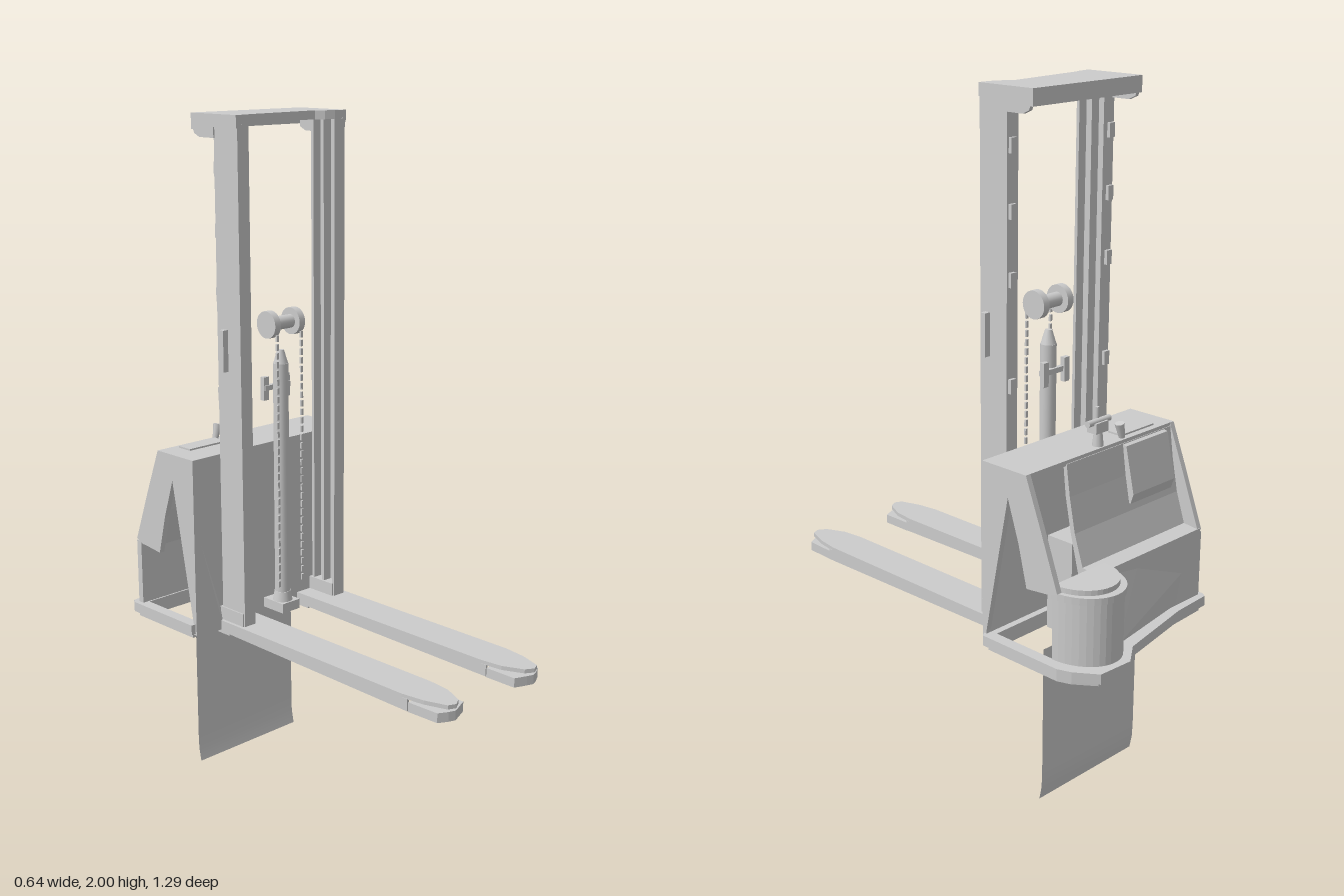
import * as THREE from 'three';

const mat = new THREE.MeshStandardMaterial({ color: 0xcccccc, side: THREE.DoubleSide });

export function createModel() {
  const model = new THREE.Group();

  function add(name, geo, x = 0, y = 0, z = 0) {
    const mesh = new THREE.Mesh(geo, mat);
    mesh.name = name;
    mesh.position.set(x, y, z);
    model.add(mesh);
    return mesh;
  }
  // Box from its lower and upper corners
  const box = (name, x0, x1, y0, y1, z0, z1) => add(name,
    new THREE.BoxGeometry(x1 - x0, y1 - y0, z1 - z0), (x0 + x1) / 2, (y0 + y1) / 2, (z0 + z1) / 2);
  const cyl = (name, r0, r1, h, x, y, z, n = 20) => add(name, new THREE.CylinderGeometry(r0, r1, h, n), x, y, z);
  const axle = (name, r, w, x, y, z) => { cyl(name, r, r, w, x, y, z, 24).rotation.z = Math.PI / 2; };
  const vecs = (pts, sx, sy) => pts.map(([a, b]) => new THREE.Vector2(a * sx, b * sy));
  // Extrude a floor outline of [x, z] points upward
  function plan(name, pts, y0, y1, hole) {
    const s = new THREE.Shape(vecs(pts, 1, -1));
    if (hole) s.holes.push(new THREE.Path(vecs(hole, 1, -1)));
    const g = new THREE.ExtrudeGeometry(s, { depth: y1 - y0, bevelEnabled: false });
    return add(name, g.rotateX(-Math.PI / 2), 0, y0, 0);
  }
  // Extrude a side outline of [z, y] points across x
  function side(name, pts, x0, x1) {
    const s = new THREE.Shape(vecs(pts, -1, 1));
    const g = new THREE.ExtrudeGeometry(s, { depth: x1 - x0, bevelEnabled: false });
    return add(name, g.rotateY(Math.PI / 2), x0, 0, 0);
  }

  // Mast rails, forks and side panels, mirrored
  for (const s of [-1, 1]) {
    const m = (pts) => pts.map(([x, z]) => [x * s, z]);
    plan('mastRail', m([[0.206, -0.145], [0.206, -0.243], [0.165, -0.243], [0.165, -0.233], [0.194, -0.233],
      [0.194, -0.2], [0.165, -0.2], [0.165, -0.19], [0.194, -0.19], [0.194, -0.155], [0.165, -0.155], [0.165, -0.145]]), 0.48, 1.975);
    const px = (a, b) => [Math.min(a * s, b * s), Math.max(a * s, b * s)];
    box('mastPad', ...px(0.222, 0.24), 1.29, 1.41, -0.197, -0.18);
    box('mastFoot', ...px(0.16, 0.21), 0.48, 0.56, -0.25, -0.15);
    for (const y of [0.98, 1.21, 1.5, 1.68, 1.85])
      box('railClip', ...px(0.18, 0.2), y - 0.02, y + 0.02, -0.253, -0.243);

    // Fork: top plate with a tapered tip and folded-down edges
    const a = 0.105, b = 0.22;
    plan('forkTop', m([[a, -0.2], [a, 0.5], [0.113, 0.57], [0.14, 0.63], [0.165, 0.645],
      [0.188, 0.635], [0.21, 0.57], [b, 0.5], [b, -0.2]]), 0.508, 0.52);
    const edge = [[-0.2, 0.485], [-0.2, 0.51], [0.52, 0.51], [0.52, 0.475]];
    side('forkEdge', edge, ...px(a, a + 0.008));
    side('forkEdge', edge, ...px(b - 0.008, b));
    plan('forkTip', m([[0.108, 0.52], [0.108, 0.62], [0.145, 0.635], [0.165, 0.642],
      [0.185, 0.635], [0.212, 0.62], [0.216, 0.52]]), 0.472, 0.5);
    box('forkHeel', ...px(a, b), 0.48, 0.52, -0.25, -0.2);

    // Side panel with an open, A-shaped profile
    side('sidePanel', [[-0.25, 0.5], [-0.25, 1.03], [-0.41, 1.03], [-0.465, 0.89], [-0.525, 0.73], [-0.5, 0.72],
      [-0.415, 0.71], [-0.385, 0.83], [-0.345, 0.95], [-0.262, 0.52]], ...px(0.288, 0.305));
  }

  // Cap joining the rails, with rounded cheeks at the rear
  plan('mastCap', [[-0.21, -0.335], [-0.21, -0.145], [-0.17, -0.148], [-0.15, -0.155], [0.12, -0.18],
    [0.14, -0.16], [0.17, -0.148], [0.21, -0.145], [0.21, -0.335]], 1.975, 2);
  const cheek = [[-0.145, 1.98], [-0.145, 1.965], [-0.24, 1.965], [-0.24, 1.935], [-0.3, 1.935],
    [-0.322, 1.945], [-0.333, 1.97], [-0.333, 1.99]];
  side('capCheek', cheek, -0.21, -0.198);
  side('capCheek', cheek, 0.198, 0.21);
  box('capRearLip', -0.21, 0.21, 1.955, 1.99, -0.335, -0.325);

  // Lift cylinder, pulley head and chains
  cyl('liftCylinder', 0.023, 0.023, 0.71, -0.003, 0.925, -0.2);
  cyl('cylinderNeck', 0.01, 0.022, 0.04, -0.003, 1.3, -0.2);
  cyl('cylinderFoot', 0.025, 0.03, 0.03, -0.003, 0.555, -0.2);
  box('cylinderBracket', -0.035, 0.035, 0.51, 0.54, -0.25, -0.165);
  axle('pulleyAxle', 0.02, 0.1, 0, 1.4, -0.2);
  for (const s of [-1, 1]) {
    axle('pulley', 0.04, 0.022, s * 0.048, 1.4, -0.2);
    for (let i = 0; i < 30; i++)
      box('chainLink', s * 0.048 - 0.004, s * 0.048 + 0.004, 0.6 + i * 0.026, 0.619 + i * 0.026, -0.168, -0.162);
    box('chainClamp', s * 0.042 - 0.01, s * 0.042 + 0.01, 1.17, 1.24, -0.235, -0.22);
  }
  box('clampBar', -0.05, 0.05, 1.2, 1.215, -0.23, -0.215);

  // Body front and top
  box('bodyFront', -0.305, 0.305, 0.49, 1.03, -0.265, -0.25);
  box('bodyTop', -0.305, 0.305, 1.015, 1.03, -0.41, -0.25);

  // Concave backrest running down to the shelf
  side('backrest', [[-0.4, 1.02], [-0.412, 1.02], [-0.425, 0.93], [-0.445, 0.83], [-0.475, 0.74],
    [-0.525, 0.735], [-0.525, 0.715], [-0.46, 0.715], [-0.43, 0.83], [-0.41, 0.93]], -0.3, 0.15);
  side('backrestPocket', [[-0.4, 1.02], [-0.425, 1.015], [-0.455, 0.88], [-0.445, 0.85], [-0.42, 0.86]], -0.26, -0.08);

  // Lower rear wall and the rounded motor housing
  box('rearWall', -0.305, 0.1, 0.52, 0.725, -0.525, -0.505);
  const housing = (r, d) => {
    const pts = [];
    for (let i = 0; i <= 20; i++) {
      const t = Math.PI * i / 20;
      pts.push([0.19 - r * Math.cos(t), -0.5 - d * Math.sin(t)]);
    }
    return pts;
  };
  plan('motorHousing', housing(0.105, 0.132), 0.53, 0.715);
  plan('motorRim', housing(0.112, 0.137), 0.71, 0.73);
  plan('motorLid', housing(0.1, 0.115), 0.73, 0.745);
  // Faceted ramp between rear wall and housing
  const ramp = new THREE.BufferGeometry().setFromPoints([
    [0.1, 0.53, -0.57], [-0.22, 0.62, -0.526], [-0.02, 0.7, -0.526],
    [0.1, 0.53, -0.57], [-0.02, 0.7, -0.526], [0.1, 0.72, -0.53],
    [0.1, 0.53, -0.57], [-0.2, 0.53, -0.526], [-0.22, 0.62, -0.526],
  ].map((p) => new THREE.Vector3(...p)));
  ramp.computeVertexNormals();
  add('rearRamp', ramp);

  // Base ring with a bumper outline
  const outline = [[-0.32, -0.255], [-0.32, -0.53], [-0.31, -0.545], [-0.18, -0.552], [0.08, -0.6],
    [0.15, -0.65], [0.26, -0.643], [0.305, -0.58], [0.32, -0.54], [0.32, -0.265], [0.295, -0.25]];
  const opening = [[-0.285, -0.285], [0.285, -0.285], [0.285, -0.5], [-0.285, -0.5]];
  plan('baseRing', outline, 0.495, 0.525, opening);
  plan('baseUnderside', outline.map(([x, z]) => [x * 0.96, (z + 0.4) * 0.93 - 0.4]), 0.48, 0.495, opening);

  // Front gussets beside the mast
  for (const [s, top] of [[-1, 0.77], [1, 0.81]]) {
    const d = s > 0 ? -0.2 : -0.235;
    const A = [s * 0.21, 0.49, d], B = [s * 0.3, 0.49, -0.25], C = [s * 0.28, top, -0.25], D = [s * 0.21, 0.55, -0.25];
    const g = new THREE.BufferGeometry().setFromPoints(
      (s > 0 ? [A, B, C, A, C, D] : [A, C, B, A, D, C]).map((p) => new THREE.Vector3(...p)));
    g.computeVertexNormals();
    add('frontGusset', g);
  }

  // Drive unit, wheels and hanging sheet
  box('driveUnit', -0.09, 0.12, 0.5, 0.78, -0.41, -0.32);
  box('driveMotor', -0.05, 0.08, 0.56, 0.64, -0.32, -0.3);
  axle('driveWheel', 0.058, 0.07, -0.005, 0.453, -0.375);
  axle('wheelHub', 0.035, 0.085, -0.005, 0.453, -0.375);
  box('casterBracket', -0.04, 0.04, 0.46, 0.49, -0.49, -0.45);
  const sheet = new THREE.PlaneGeometry(0.4, 0.48, 1, 12);
  const p = sheet.attributes.position;
  for (let i = 0; i < p.count; i++) p.setZ(i, Math.max(0, -0.19 - p.getY(i)) * 0.2);
  sheet.computeVertexNormals();
  add('hangingSheet', sheet, 0, 0.24, -0.382);

  // Controls on the body top
  cyl('tillerPost', 0.01, 0.016, 0.06, 0, 1.06, -0.39, 10);
  box('tillerHead', -0.025, 0.025, 1.07, 1.1, -0.405, -0.372);
  axle('tillerGrip', 0.009, 0.09, 0, 1.1, -0.39);
  cyl('tillerButton', 0.006, 0.006, 0.04, 0, 1.12, -0.385, 8);
  cyl('lever', 0.014, 0.008, 0.05, -0.09, 1.05, -0.395, 8).rotation.z = -0.25;
  box('controlPanel', -0.24, -0.1, 1.028, 1.035, -0.39, -0.34);
  return model;
}
